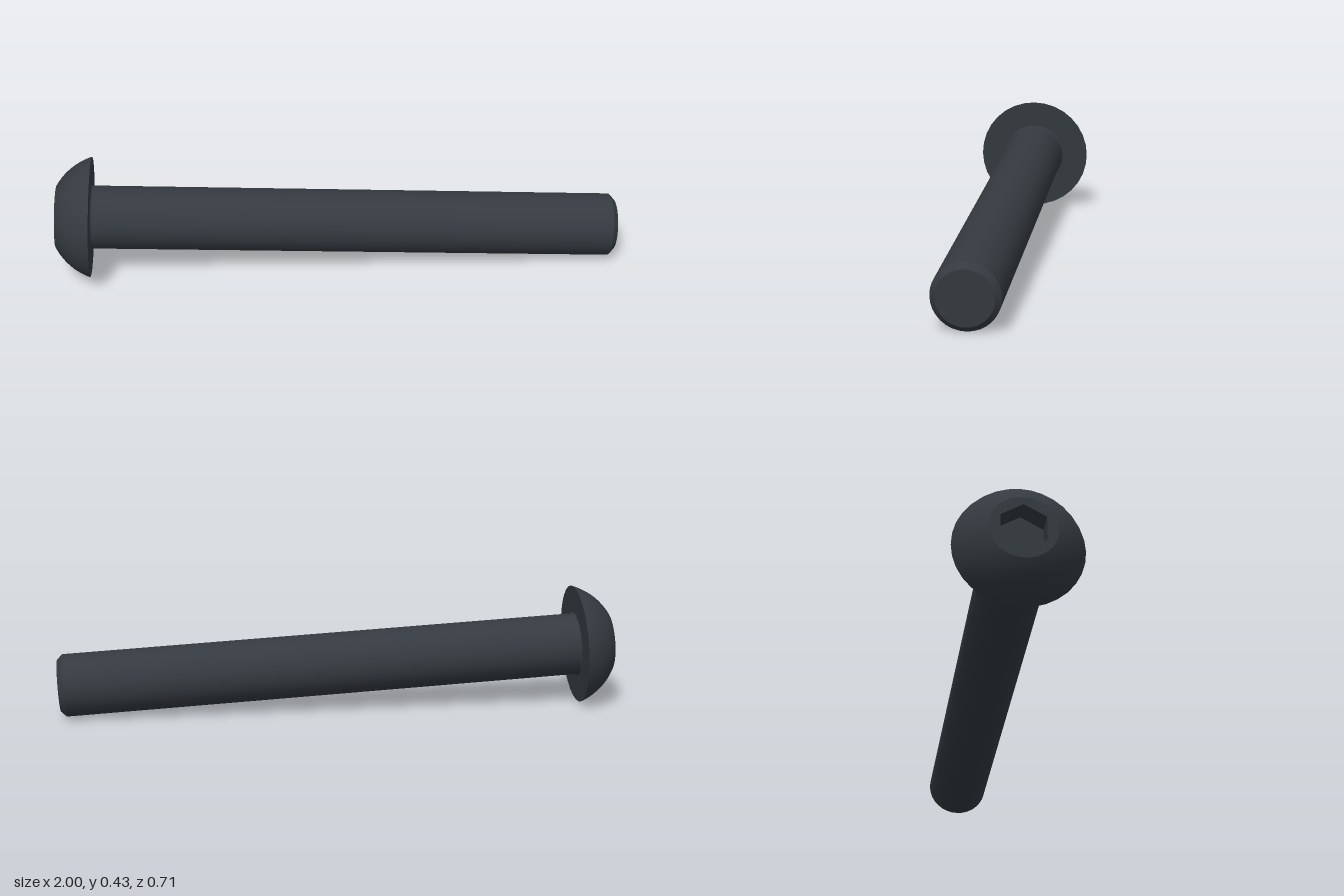
import * as THREE from 'three';

const SIDES = 32;
const HEAD_R = 0.214, HEAD_H = 0.123, FLAT_R = 0.11;
const SHAFT_R = 0.112, TIP_R = 0.093, FILLET = 0.007;
const SOCKET_R = 0.084, SOCKET_DEPTH = 0.075;

export function createModel() {
  const steel = new THREE.MeshStandardMaterial({ color: 0x343a40 });
  steel.name = 'darkSteel';

  const model = new THREE.Group();
  model.name = 'buttonHeadBolt';

  // The bolt lies along its own z axis: head underside at z = 0, tip at z = length
  const bolt = new THREE.Group();
  bolt.name = 'bolt';
  const start = new THREE.Vector3(-0.857, 0.215, -0.144);
  const end = new THREE.Vector3(0.978, 0.113, 0.248);
  const length = start.distanceTo(end);
  bolt.position.copy(start);
  bolt.lookAt(end);
  model.add(bolt);

  const add = (name, geometry) => {
    const mesh = new THREE.Mesh(geometry, steel);
    mesh.name = name;
    bolt.add(mesh);
  };
  // Turned surface from [radius, z] pairs; separate calls keep edges sharp
  const turned = (name, profile) => {
    const points = profile.map(([r, z]) => new THREE.Vector2(r, z));
    add(name, new THREE.LatheGeometry(points, SIDES).rotateX(Math.PI / 2));
  };

  // Domed head: a spherical arc from the flat to the rim
  const c = (HEAD_R ** 2 - FLAT_R ** 2 - HEAD_H ** 2) / (2 * HEAD_H);
  const sphereR = Math.hypot(HEAD_R, c);
  const a0 = Math.atan2(FLAT_R, HEAD_H + c);
  const a1 = Math.atan2(HEAD_R, c);
  const dome = [];
  for (let i = 0; i <= 10; i++) {
    const a = a0 + (a1 - a0) * i / 10;
    dome.push([sphereR * Math.sin(a), c - sphereR * Math.cos(a)]);
  }
  turned('headDome', dome);
  turned('headUnderside', [[HEAD_R, 0], [SHAFT_R + FILLET, 0]]);

  // Small fillet, shaft, chamfer and end cap
  const fillet = [];
  for (let i = 0; i <= 4; i++) {
    const a = i / 4 * Math.PI / 2;
    fillet.push([SHAFT_R + FILLET * (1 - Math.sin(a)), FILLET * (1 - Math.cos(a))]);
  }
  turned('shaftFillet', fillet);
  const chamferZ = length - (SHAFT_R - TIP_R);
  turned('shaft', [[SHAFT_R, FILLET], [SHAFT_R, chamferZ]]);
  turned('tipChamfer', [[SHAFT_R, chamferZ], [TIP_R, length]]);
  turned('tipCap', [[TIP_R, length], [0, length]]);

  // Flat top of the head with a hexagonal opening
  const ring = (r, n) => Array.from({ length: n }, (_, i) => {
    const a = Math.PI / 2 + i / n * Math.PI * 2;
    return new THREE.Vector2(r * Math.cos(a), r * Math.sin(a));
  });
  const face = new THREE.Shape(ring(FLAT_R, SIDES));
  face.holes.push(new THREE.Path(ring(SOCKET_R, 6)));
  add('headFlat', new THREE.ShapeGeometry(face).rotateY(Math.PI).translate(0, 0, -HEAD_H));

  // Socket walls face inward, with a flat floor
  const walls = new THREE.CylinderGeometry(SOCKET_R, SOCKET_R, SOCKET_DEPTH, 6, 1, true).toNonIndexed();
  walls.rotateX(Math.PI / 2).translate(0, 0, SOCKET_DEPTH / 2 - HEAD_H);
  // Mirroring turns the walls inside out
  walls.scale(-1, 1, 1);
  walls.computeVertexNormals();
  add('socketWalls', walls);
  const floor = new THREE.ShapeGeometry(new THREE.Shape(ring(SOCKET_R, 6)));
  add('socketFloor', floor.rotateY(Math.PI).translate(0, 0, SOCKET_DEPTH - HEAD_H));

  return model;
}
